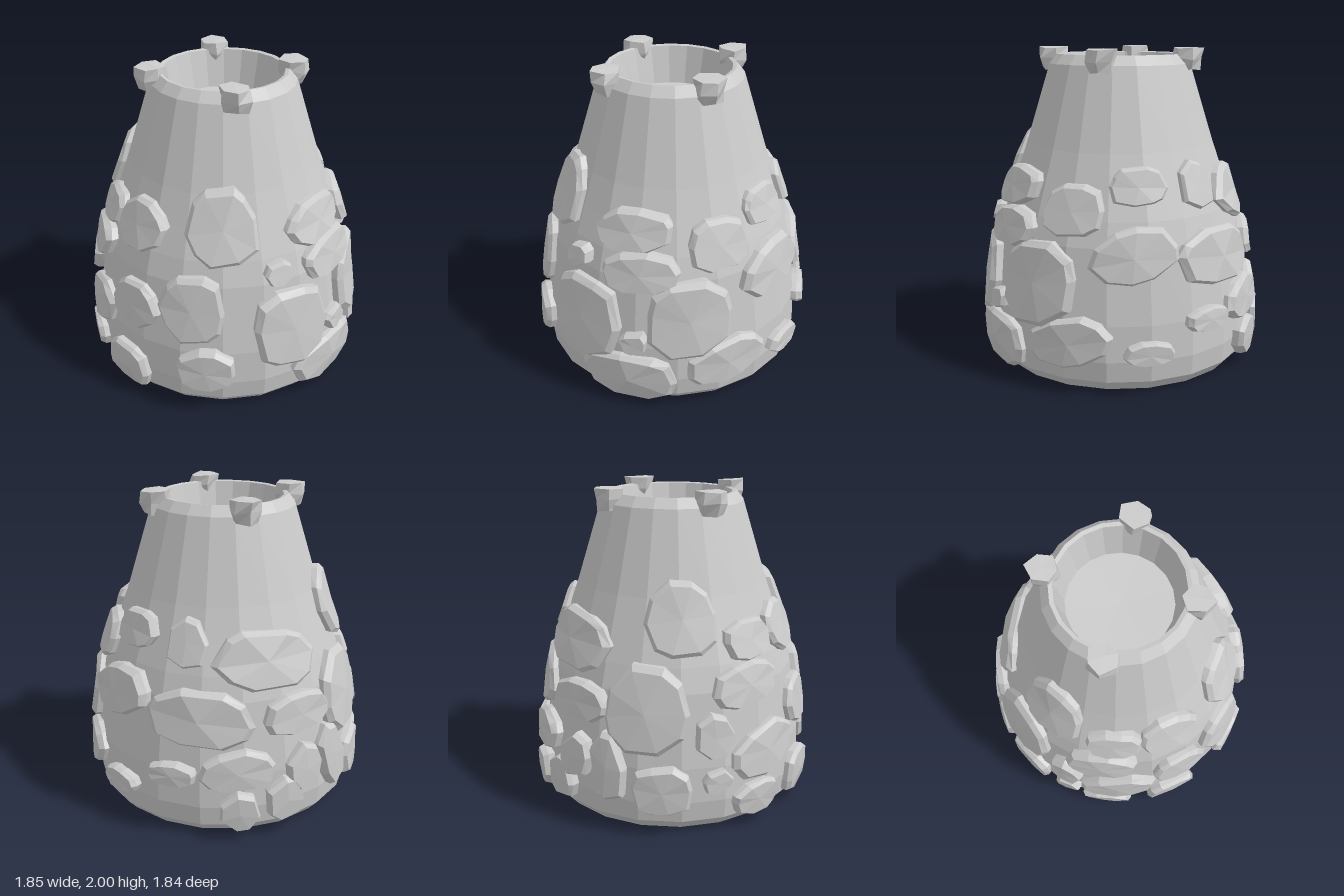
import * as THREE from 'three';

// Outer wall outline as [radius, height]
const WALL = [[0.79, 0], [0.85, 0.07], [0.865, 0.2], [0.855, 0.42], [0.79, 0.87],
  [0.745, 1.02], [0.68, 1.2], [0.61, 1.4], [0.455, 1.9], [0.405, 1.96]];

// Kinds of wall stone, each with its places as [degrees from the front, height]
const KINDS = [
  { name: 'boulder', width: 0.52, tall: 0.55, tilt: 0, at: [[-24, 0.56], [23, 0.64], [-177, 0.77]] },
  { name: 'tallStone', width: 0.4, tall: 0.45, tilt: 5, at: [[-54, 1.23], [-161, 1.3], [-67, 0.73]] },
  { name: 'slab', width: 0.62, tall: 0.35, tilt: -2, at: [[-2, 0.2], [107, 0.77], [138, 1.11]] },
  { name: 'leaningStone', width: 0.51, tall: 0.31, tilt: 15, at: [[39, 0.31], [-124, 0.47], [65, 0.83]] },
  { name: 'wideStone', width: 0.46, tall: 0.25, tilt: 7,
    at: [[-3, 1.17], [2, 0.93], [-132, 0.9], [123, 0.46], [151, 0.77]] },
  { name: 'roundStone', width: 0.37, tall: 0.31, tilt: 0,
    at: [[38, 1.08], [-61, 0.31], [-170, 0.29], [-98, 0.18], [-98, 1.16], [-95, 0.66]] },
  { name: 'brick', width: 0.34, tall: 0.23, tilt: 5, at: [[-127, 1.15], [-130, 0.17], [68, 1.22]] },
  { name: 'uprightStone', width: 0.24, tall: 0.29, tilt: 0,
    at: [[100, 1.2], [124, 0.19], [-149, 0.62], [143, 0.24], [152, 0.42]] },
  { name: 'narrowStone', width: 0.22, tall: 0.45, tilt: 12, at: [[168, 0.42]] },
  { name: 'flatStone', width: 0.3, tall: 0.14, tilt: 3, at: [[97, 0.42], [71, 0.26]] },
  { name: 'pebble', width: 0.18, tall: 0.14, tilt: 20, at: [[-29, 0.94], [0, 0.47], [-148, 0.34]] },
];

function seeded(seed) {
  let s = seed * 7919 + 17;
  const next = () => (s = (s * 16807) % 2147483647) / 2147483647;
  for (let i = 0; i < 5; i++) next();
  return next;
}

function wallRadius(y) {
  for (let i = 1; i < WALL.length; i++) {
    const [r0, y0] = WALL[i - 1], [r1, y1] = WALL[i];
    if (y <= y1) return THREE.MathUtils.mapLinear(Math.max(y, y0), y0, y1, r0, r1);
  }
  return WALL[WALL.length - 1][0];
}

// Chipped stone wrapped on the wall: concentric rings closed by a middle point
function stoneGeometry({ width, tall, tilt }, [deg, height], seed) {
  const rand = seeded(seed);
  const sides = width > 0.25 ? 10 : 7;
  const thick = 0.045 + 0.02 * rand();
  const rings = [[1, -0.04], [1.01, thick * 0.5], [0.88, thick]];
  const centre = new THREE.Vector2();
  const square = (v) => Math.sign(v) * Math.pow(Math.abs(v), 0.85);
  const outline = [];
  for (let j = 0; j < sides; j++) {
    const a = ((j + 0.5 * (rand() - 0.5)) / sides) * Math.PI * 2;
    const k = 0.47 + 0.07 * rand();
    outline.push(new THREE.Vector2(square(Math.cos(a)) * k * width, square(Math.sin(a)) * k * tall)
      .rotateAround(centre, THREE.MathUtils.degToRad(tilt)));
  }
  const positions = [], index = [];
  const place = (u, v, lift) => {
    const y = height + v * 0.97, r = wallRadius(y) + lift;
    const a = THREE.MathUtils.degToRad(deg) + u / wallRadius(height);
    positions.push(Math.sin(a) * r, Math.max(0.03, y), Math.cos(a) * r);
  };
  for (const [k, lift] of rings) {
    for (const p of outline) place(p.x * k, p.y * k, lift + 0.008 * rand());
  }
  place(0, 0, thick + 0.004);
  const middle = rings.length * sides;
  for (let j = 0; j < sides; j++) {
    const n = (j + 1) % sides;
    for (let i = 0; i < rings.length - 1; i++) {
      const a = i * sides + j, b = i * sides + n;
      index.push(a, b, b + sides, a, b + sides, a + sides);
    }
    index.push(middle - sides + j, middle - sides + n, middle);
  }
  const geo = new THREE.BufferGeometry();
  geo.setAttribute('position', new THREE.Float32BufferAttribute(positions, 3));
  geo.setIndex(index);
  geo.computeVertexNormals();
  return geo;
}

// Rough block with chipped corners and a wider top
function blockGeometry(seed) {
  const rand = seeded(seed);
  const geo = new THREE.CylinderGeometry(0.095, 0.075, 0.14, 6, 2);
  const p = geo.attributes.position, chips = new Map();
  for (let i = 0; i < p.count; i++) {
    const x = p.getX(i), y = p.getY(i), z = p.getZ(i);
    // corners shared by several faces move together
    const key = [x, y, z].map((v) => Math.round(v * 1000)).join();
    if (!chips.has(key)) chips.set(key, [rand(), rand(), rand()].map((v) => (v - 0.5) * 0.022));
    const [dx, dy, dz] = chips.get(key);
    const k = Math.abs(y) < 0.01 ? 1.12 : 1;
    p.setXYZ(i, x * k + dx, Math.min(0.07, y + dy), z * k + dz);
  }
  geo.computeVertexNormals();
  return geo;
}

export function createModel() {
  const model = new THREE.Group();
  model.name = 'stoneTower';
  const material = new THREE.MeshStandardMaterial({ color: 0xcccccc, flatShading: true });
  const add = (parent, name, geo) => {
    const mesh = new THREE.Mesh(geo, material);
    mesh.name = name;
    parent.add(mesh);
    return mesh;
  };

  // Tapered body with a shallow hollow in the top
  const profile = [[0, 0], ...WALL, [0.38, 1.955], [0.325, 1.72], [0, 1.71]];
  add(model, 'towerBody', new THREE.LatheGeometry(profile.map(([r, y]) => new THREE.Vector2(r, y)), 20));

  // Stones set in the wall
  const stones = new THREE.Group();
  stones.name = 'wallStones';
  for (const kind of KINDS) {
    for (const spot of kind.at) add(stones, kind.name, stoneGeometry(kind, spot, stones.children.length + 1));
  }
  model.add(stones);

  // Four blocks on the rim
  const blocks = new THREE.Group();
  blocks.name = 'rimBlocks';
  for (let i = 0; i < 4; i++) {
    const a = Math.PI / 4 + (i * Math.PI) / 2;
    const block = add(blocks, 'rimBlock', blockGeometry(i + 50));
    block.position.set(Math.sin(a) * 0.445, 1.93, Math.cos(a) * 0.445);
    block.rotation.y = a;
  }
  model.add(blocks);
  return model;
}
